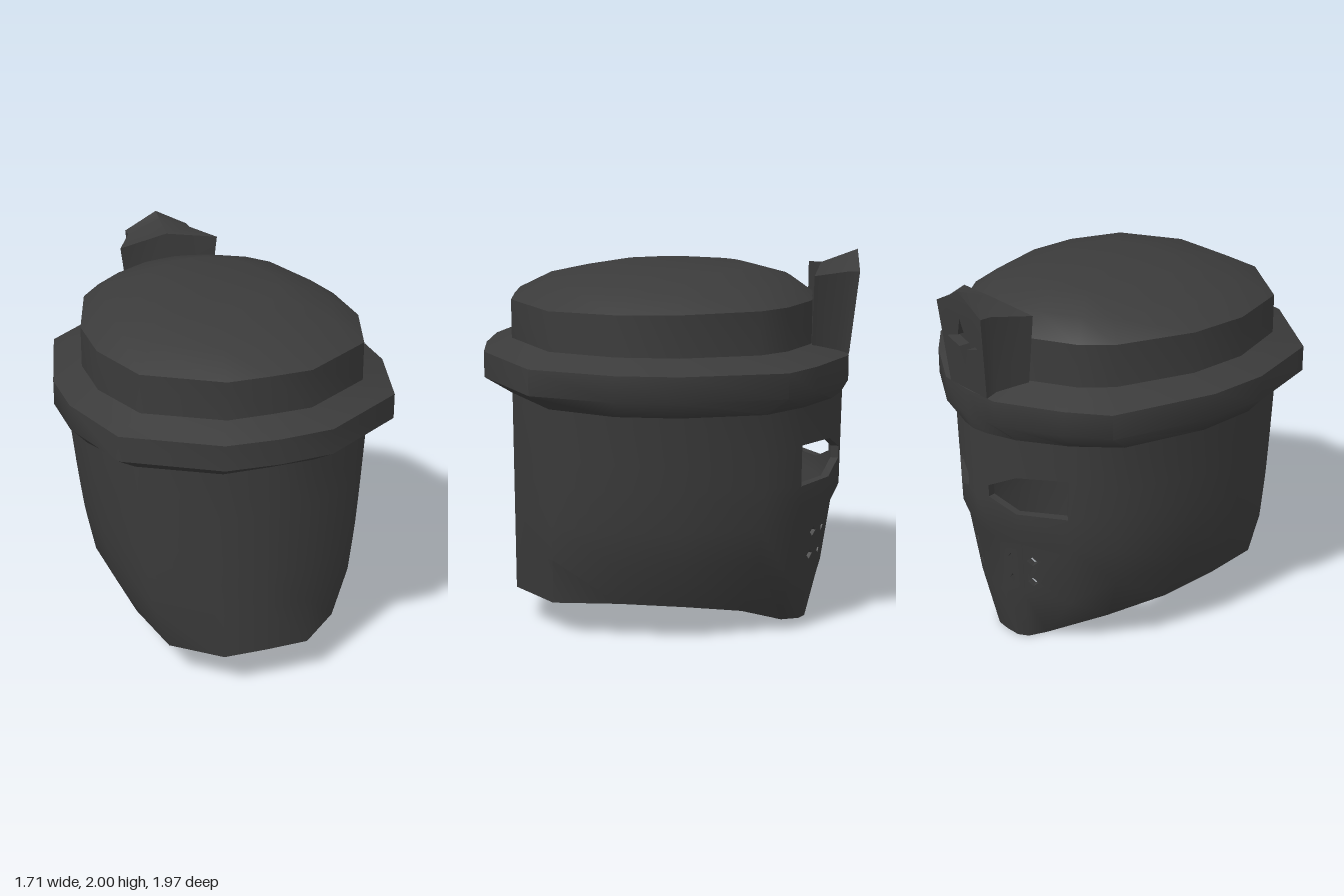
import * as THREE from 'three';
import { mergeGeometries, toCreasedNormals } from 'three/addons/utils/BufferGeometryUtils.js';

const V = (x, y, z) => new THREE.Vector3(x, y, z);

// Half outlines [x, z] from the back (+z) round to the face (-z)
const FACE = [[0, .83], [.24, .825], [.62, .6], [.77, .26], [.78, -.06], [.67, -.49], [.48, -.685], [.25, -.84], [.09, -.9], [0, -.915]];
const BRIM = [[0, .985], [.28, .965], [.73, .69], [.855, .26], [.855, -.06], [.71, -.6], [.52, -.75], [.2, -.93], [.09, -.935], [0, -.94]];
const CROWN = [[0, .83], [.22, .825], [.59, .6], [.705, .26], [.7, -.06], [.57, -.46], [.45, -.6], [.22, -.73], [.1, -.755], [0, -.77]];
// Lower rim of the mask [x, y, z], same columns as FACE
const RIM = [[0, .2, .83], [.23, .2, .825], [.46, .19, .61], [.53, .21, .26], [.53, .195, -.08], [.41, .135, -.38], [.17, .005, -.6], [.13, 0, -.695], [.08, 0, -.73], [0, 0, -.735]];
// How strongly each column narrows towards the rim
const TAPER = [1, .2, .75, 1, 1, .85, .65, 1, 1, 1];
// Eye opening heights [top, bottom] per column
const EYES = { 6: [1.05, .83], 7: [1.035, .825], 8: [.955, .89] };
const N = 18;
const half = j => Math.min(j % N, N - (j % N));
const side = j => (j % N > N / 2 ? -1 : 1);

// Collects faces (corners counter-clockwise from outside)
function faceList() {
  const pos = [];
  const tri = (...ps) => { for (const p of ps) pos.push(p.x, p.y, p.z); };
  return {
    tri,
    quad(a, b, c, d) { tri(a, b, c); tri(a, c, d); },
    geometry() {
      const g = new THREE.BufferGeometry();
      g.setAttribute('position', new THREE.Float32BufferAttribute(pos, 3));
      return g;
    },
  };
}

// Extrusion reduced to positions, so it merges with the face lists
function slab(shape, depth) {
  const g = new THREE.ExtrudeGeometry(shape, { depth, bevelEnabled: false });
  g.deleteAttribute('uv');
  g.deleteAttribute('normal');
  return g;
}
const vec2s = list => list.map(p => new THREE.Vector2(...p));

// Piecewise linear lookup, keys descending
function lookup(table, y) {
  for (let i = 1; i < table.length; i++) {
    const [y0, v0] = table[i - 1], [y1, v1] = table[i];
    if (y >= y1) return v0 + (v1 - v0) * Math.min(1, (y0 - y) / (y0 - y1));
  }
  return table[table.length - 1][1];
}
const WIDTH = [[1.28, 1], [1.17, .975], [1, .96], [.75, .92], [.46, .85], [.2, .68]];
const LEAN = [[1.28, 0], [.73, .008], [.64, .05], [.3, .1], [0, .18]];

// Column of mask points from top to rim
function maskColumn(j) {
  const h = half(j), s = side(j), [x, z] = FACE[h];
  const eye = EYES[h] || [1, .86];
  const ys = [1.28, ...eye, .73, .64, h >= 6 ? .3 : .45];
  const lean = Math.max(0, -z / .915) ** 2;
  const col = ys.map(y => V(s * x * (1 - TAPER[h] * (1 - lookup(WIDTH, y))), y, z + lean * lookup(LEAN, y)));
  const [rx, ry, rz] = RIM[h];
  return [...col, V(s * rx, ry, rz)];
}

// Cell with two diamond air holes at column position u0, fitted between outer and inner corners
function ventCell(o, inn, u0) {
  const shape = new THREE.Shape(vec2s([[0, 0], [1, 0], [1, 1], [0, 1]]));
  for (const v of [.29, .68]) {
    shape.holes.push(new THREE.Path(vec2s([[u0 - .12, v], [u0, v + .08], [u0 + .12, v], [u0, v - .08]])));
  }
  const g = slab(shape, 1), p = g.attributes.position;
  const bilinear = ([a, b, c, d], u, v) => b.clone().lerp(c, u).lerp(a.clone().lerp(d, u), v);
  for (let i = 0; i < p.count; i++) {
    const u = p.getX(i), v = p.getY(i);
    const q = bilinear(inn, u, v).lerp(bilinear(o, u, v), p.getZ(i));
    p.setXYZ(i, q.x, q.y, q.z);
  }
  return g;
}

function maskGeometry() {
  const outer = [], inner = [], m = faceList(), vents = [];
  for (let j = 0; j <= N; j++) {
    outer.push(maskColumn(j));
    inner.push(outer[j].map(p => V(p.x * .91, p.y, p.z * (p.z < -.5 ? .955 : .92))));
  }
  const cellCorners = (g, j, r) => [g[j][r], g[j][r + 1], g[j + 1][r + 1], g[j + 1][r]];
  const cellHalf = j => Math.min(half(j), half(j + 1));
  const isFront = j => cellHalf(j) === 6 || cellHalf(j) === 7;
  for (let j = 0; j < N; j++) {
    for (let r = 0; r < 6; r++) {
      const o = cellCorners(outer, j, r), n = cellCorners(inner, j, r);
      if (r === 1 && isFront(j)) {
        // Eye opening: walls on every edge not shared with the other half
        for (let e = 0; e < 4; e++) {
          if (e === 0 && isFront(j - 1) || e === 2 && isFront(j + 1)) continue;
          const f = (e + 1) % 4;
          m.quad(o[e], o[f], n[f], n[e]);
        }
      } else if (r === 4 && isFront(j)) {
        const u = cellHalf(j) === 6 ? .8 : .5;
        vents.push(ventCell(o, n, j < N / 2 ? u : 1 - u));
      } else {
        m.quad(...o);
        m.quad(n[3], n[2], n[1], n[0]);
      }
    }
    m.quad(outer[j + 1][6], outer[j][6], inner[j][6], inner[j + 1][6]);
  }
  return toCreasedNormals(mergeGeometries([m.geometry(), ...vents]), .8);
}

// Cap: lofted from the inner ceiling, down the lining, out over the brim, up to the crown
function capGeometry() {
  // [outline, scale, height, drop towards the face, shift in z]
  const rings = [[CROWN, .9, 1.7, 0, 0], [FACE, .91, 1.27, .02, 0], [FACE, 1, 1.27, .02, 0], [BRIM, 1, 1.36, .02, 0], [BRIM, 1, 1.495, .025, 0],
    [CROWN, 1, 1.56, .03, 0], [CROWN, 1, 1.76, 0, 0], [CROWN, .81, 1.85, 0, -.02], [CROWN, .48, 1.912, 0, -.06]];
  const pts = rings.map(([line, k, y, drop, shift]) => Array.from({ length: N + 1 }, (_, j) => {
    const [x, z] = line[half(j)];
    return V(side(j) * x * k, y - drop * (.9 - z) / 1.8, z * k + shift);
  }));
  const m = faceList(), last = pts.length - 1;
  for (let j = 0; j < N; j++) {
    for (let r = 0; r < last; r++) m.quad(pts[r + 1][j], pts[r][j], pts[r][j + 1], pts[r + 1][j + 1]);
    m.tri(pts[0][j + 1], pts[0][j], V(0, 1.72, 0));
    m.tri(pts[last][j], pts[last][j + 1], V(0, 1.92, 0));
  }
  return toCreasedNormals(m.geometry(), .92);
}

// Gabled badge: a front plate with a sunken four-pointed star, on a block flaring back to the crown
function badgeGeometry() {
  const DEPTH = .06;
  const outline = [[-.15, 1.47], [.15, 1.47], [.18, 1.905], [0, 2], [-.18, 1.905]];
  const place = (x, y, z) => V(x, y > 1.95 ? y - .37 * z : y, -.935 - .045 * Math.min(1, (y - 1.47) / .43) + z);
  const plate = new THREE.Shape(vec2s(outline));
  plate.holes.push(new THREE.Path(Array.from({ length: 8 }, (_, i) => {
    const r = i % 2 ? .045 : .125, a = i * Math.PI / 4;
    return new THREE.Vector2(r * Math.sin(a), 1.73 + r * Math.cos(a));
  })));
  const g = slab(plate, DEPTH), p = g.attributes.position;
  for (let i = 0; i < p.count; i++) p.setXYZ(i, ...place(p.getX(i), p.getY(i), p.getZ(i)));

  const F = outline.map(([x, y]) => place(x, y, DEPTH));
  const B = [V(-.23, 1.5, -.735), V(.23, 1.5, -.735), V(.28, 1.895, -.74), V(0, 1.93, -.79), V(-.28, 1.895, -.74)];
  const m = faceList();
  for (let k = 0; k < 5; k++) {
    const n = (k + 1) % 5;
    // the roof slopes fold inwards, mirrored about the ridge
    if (k < 3) m.quad(F[k], F[n], B[n], B[k]);
    else m.quad(F[n], B[n], B[k], F[k]);
  }
  for (let k = 1; k < 4; k++) {
    m.tri(B[0], B[k], B[k + 1]);
    m.tri(F[0], F[k + 1], F[k]);
  }
  return toCreasedNormals(mergeGeometries([g, m.geometry()]), .8);
}

export function createModel() {
  const group = new THREE.Group();
  const material = new THREE.MeshStandardMaterial({ color: 0x3b3b3b });
  const parts = { faceMask: maskGeometry(), brimmedCap: capGeometry(), starBadge: badgeGeometry() };
  for (const [name, geometry] of Object.entries(parts)) {
    const mesh = new THREE.Mesh(geometry, material);
    mesh.name = name;
    group.add(mesh);
  }
  return group;
}
